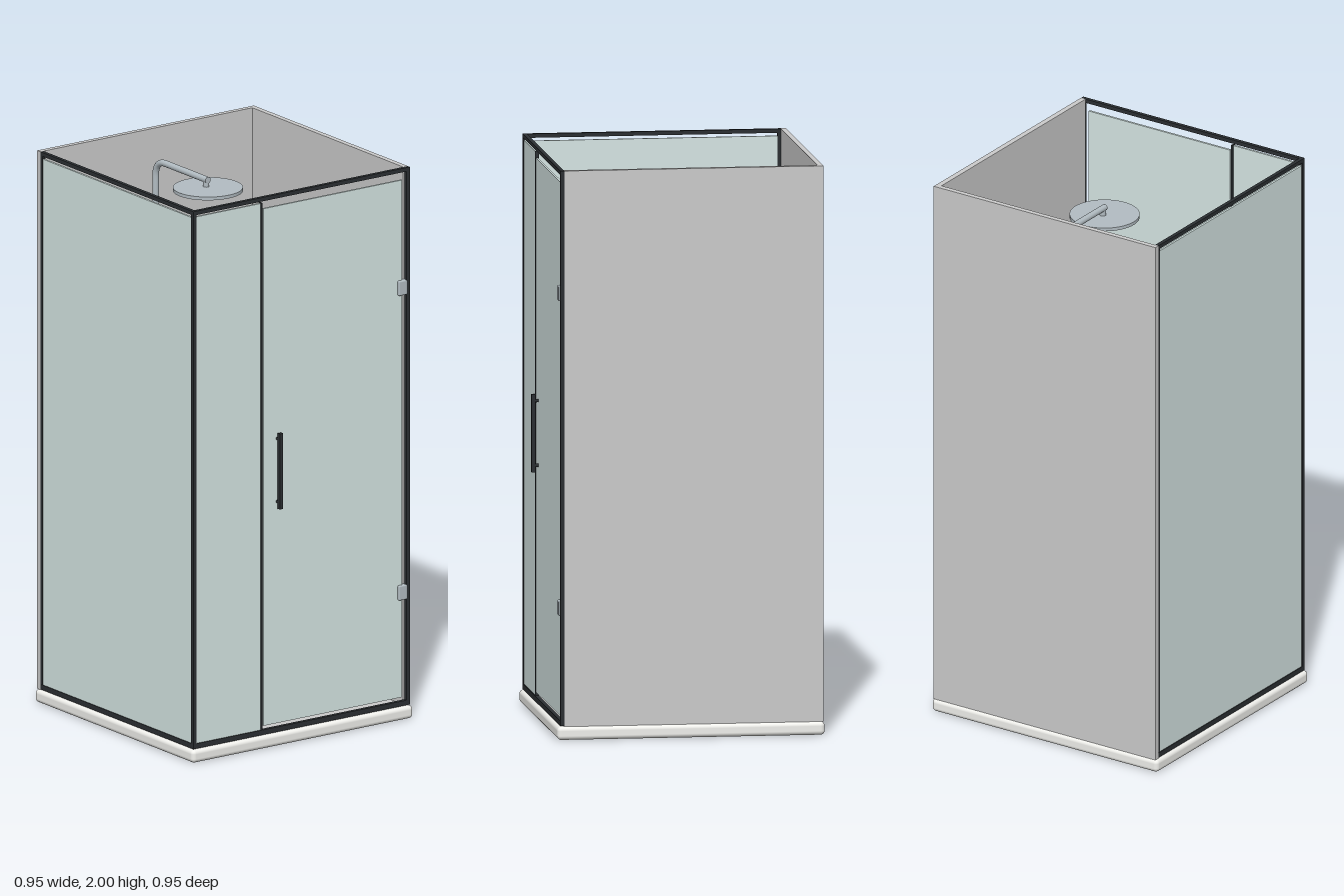
import * as THREE from 'three';
import { RoundedBoxGeometry } from 'three/addons/geometries/RoundedBoxGeometry.js';

const mat = (color, side = THREE.FrontSide) => new THREE.MeshStandardMaterial({ color, side });

export function createModel() {
  const root = new THREE.Group();
  const tile = mat(0xcccccc), white = mat(0xf0f0ec), dark = mat(0x2b2f32);
  const glass = mat(0xd6e6e4), steel = mat(0xb2bcc2), teal = mat(0x7fb8bc);

  const add = (name, geo, material, x = 0, y = 0, z = 0, parent = root) => {
    const m = new THREE.Mesh(geo, material);
    m.name = name;
    m.position.set(x, y, z);
    parent.add(m);
    return m;
  };
  // Box given by its minimum and maximum corners
  const box = (name, material, x0, x1, y0, y1, z0, z1, parent = root) =>
    add(name, new THREE.BoxGeometry(x1 - x0, y1 - y0, z1 - z0), material,
      (x0 + x1) / 2, (y0 + y1) / 2, (z0 + z1) / 2, parent);
  const cyl = (name, material, r, h, x, y, z, parent = root, r2 = r) =>
    add(name, new THREE.CylinderGeometry(r, r2, h, 32), material, x, y, z, parent);
  const tube = (name, material, pts, r, parent = root, segments = 48) =>
    add(name, new THREE.TubeGeometry(
      new THREE.CatmullRomCurve3(pts.map(p => new THREE.Vector3(...p)), false, 'centripetal'),
      segments, r, 12), material, 0, 0, 0, parent);

  // Tray and floor
  add('tray', new RoundedBoxGeometry(0.95, 0.047, 0.94, 4, 0.015), white, 0, 0.0235, -0.005);
  box('floor', tile, -0.45, 0.45, 0.04, 0.049, -0.45, 0.435);

  // Solid walls
  box('backWall', tile, -0.465, 0.467, 0.047, 2, -0.471, -0.452);
  box('rightWall', tile, 0.447, 0.467, 0.047, 2, -0.452, 0.44);

  // Dark frame of the front and the left side
  const frame = new THREE.Group();
  frame.name = 'frame';
  root.add(frame);
  for (const [y0, y1] of [[0.049, 0.067], [1.986, 2]]) {
    box('frontRail', dark, -0.451, 0.452, y0, y1, 0.44, 0.454, frame);
    box('sideRail', dark, -0.465, -0.451, y0, y1, -0.452, 0.44, frame);
  }
  box('cornerPost', dark, -0.465, -0.451, 0.049, 2, 0.44, 0.454, frame);
  box('rightPost', dark, 0.452, 0.466, 0.049, 2, 0.44, 0.454, frame);
  box('backPost', dark, -0.464, -0.451, 0.067, 1.986, -0.452, -0.44, frame);
  box('mullion', dark, -0.174, -0.167, 0.067, 1.98, 0.438, 0.452, frame);

  // Glass panes
  box('leftPane', glass, -0.462, -0.454, 0.067, 1.975, -0.44, 0.44);
  box('fixedPane', glass, -0.451, -0.174, 0.067, 1.978, 0.442, 0.45);

  // Hinged door with hinges and pull handle
  const door = new THREE.Group();
  door.name = 'door';
  root.add(door);
  box('doorPane', glass, -0.16, 0.435, 0.08, 1.957, 0.442, 0.45, door);
  for (const y of [0.461, 1.567]) {
    add('hinge', new RoundedBoxGeometry(0.036, 0.054, 0.024, 2, 0.005), steel, 0.434, y, 0.447, door);
  }
  box('handleBar', dark, -0.109, -0.094, 0.862, 1.136, 0.462, 0.475, door);
  box('innerHandleBar', dark, -0.109, -0.094, 0.862, 1.136, 0.428, 0.433, door);
  for (const y of [0.885, 1.113]) {
    cyl('handlePost', dark, 0.006, 0.035, -0.1015, y, 0.449, door).rotation.x = Math.PI / 2;
  }

  // Linear drain with slots
  const drain = new THREE.Group();
  drain.name = 'drain';
  root.add(drain);
  box('drainPlate', steel, -0.27, 0.27, 0.046, 0.053, -0.337, -0.297, drain);
  for (let i = -8; i <= 8; i++) {
    const x = i * 0.0285 + 0.014;
    box('drainSlot', dark, x - 0.006, x + 0.006, 0.052, 0.054, -0.329, -0.307, drain);
  }

  // Mixer bar with a knob at each end
  const mixer = new THREE.Group();
  mixer.name = 'mixer';
  root.add(mixer);
  add('mixerBody', new RoundedBoxGeometry(0.245, 0.058, 0.058, 4, 0.02), steel, 0, 1, -0.407, mixer);
  cyl('mixerCore', steel, 0.014, 0.3, 0, 1, -0.407, mixer).rotation.z = Math.PI / 2;
  for (const s of [-1, 1]) {
    const c = [[0, -0.017], [0.018, -0.017], [0.024, -0.012], [0.024, 0.012], [0.018, 0.017], [0, 0.017]];
    add('mixerKnob', new THREE.LatheGeometry(c.map(p => new THREE.Vector2(...p)), 28),
      steel, s * 0.152, 1, -0.407, mixer).rotation.z = Math.PI / 2;
    cyl('wallMount', steel, 0.02, 0.045, s * 0.075, 1, -0.435, mixer).rotation.x = Math.PI / 2;
  }

  // Riser pipe, arm and overhead rain head
  const rain = new THREE.Group();
  rain.name = 'rainShower';
  root.add(rain);
  const R = 0.06, path = new THREE.CurvePath();
  const v = (y, z) => new THREE.Vector3(0, y, z);
  path.add(new THREE.LineCurve3(v(1.0, -0.41), v(1.9 - R, -0.41)));
  path.add(new THREE.QuadraticBezierCurve3(v(1.9 - R, -0.41), v(1.9, -0.41), v(1.9, -0.41 + R)));
  path.add(new THREE.LineCurve3(v(1.9, -0.41 + R), v(1.9, -0.1)));
  add('riserArm', new THREE.TubeGeometry(path, 90, 0.0115, 16), steel, 0, 0, 0, rain);
  cyl('armEnd', steel, 0.0115, 0.001, 0, 1.9, -0.1, rain).rotation.x = Math.PI / 2;
  cyl('headNeck', steel, 0.011, 0.03, 0, 1.885, -0.111, rain);
  add('rainHead', new THREE.CylinderGeometry(0.122, 0.122, 0.012, 64), steel, 0, 1.869, -0.1, rain);

  // Hand shower on its wall holder, with hose
  const hand = new THREE.Group();
  hand.name = 'handShower';
  root.add(hand);
  cyl('holder', steel, 0.011, 0.09, 0.21, 1.4, -0.407, hand).rotation.x = Math.PI / 2;
  tube('grip', steel, [[0.21, 1.29, -0.372], [0.21, 1.4, -0.365], [0.21, 1.48, -0.345]], 0.01, hand, 16);
  cyl('sprayHead', steel, 0.04, 0.014, 0.21, 1.485, -0.337, hand).rotation.x = Math.PI / 2 - 0.1;
  tube('hose', steel, [[0.06, 0.975, -0.38], [0.075, 0.8, -0.365], [0.11, 0.6, -0.342],
    [0.15, 0.62, -0.335], [0.19, 0.9, -0.352], [0.21, 1.29, -0.372]], 0.005, hand, 64);

  // Shelf with two bottles
  const shelf = new THREE.Group();
  shelf.name = 'shelf';
  root.add(shelf);
  box('shelfBoard', dark, -0.387, -0.112, 1.195, 1.21, -0.443, -0.296, shelf);
  for (const x of [-0.35, -0.15]) box('bracket', dark, x - 0.006, x + 0.006, 1.195, 1.207, -0.453, -0.44, shelf);
  [[-0.315, white], [-0.191, teal]].forEach(([x, m]) => {
    cyl('bottle', m, 0.021, 0.12, x, 1.27, -0.37, shelf);
    cyl('bottleCap', dark, 0.015, 0.02, x, 1.34, -0.37, shelf);
  });
  return root;
}
